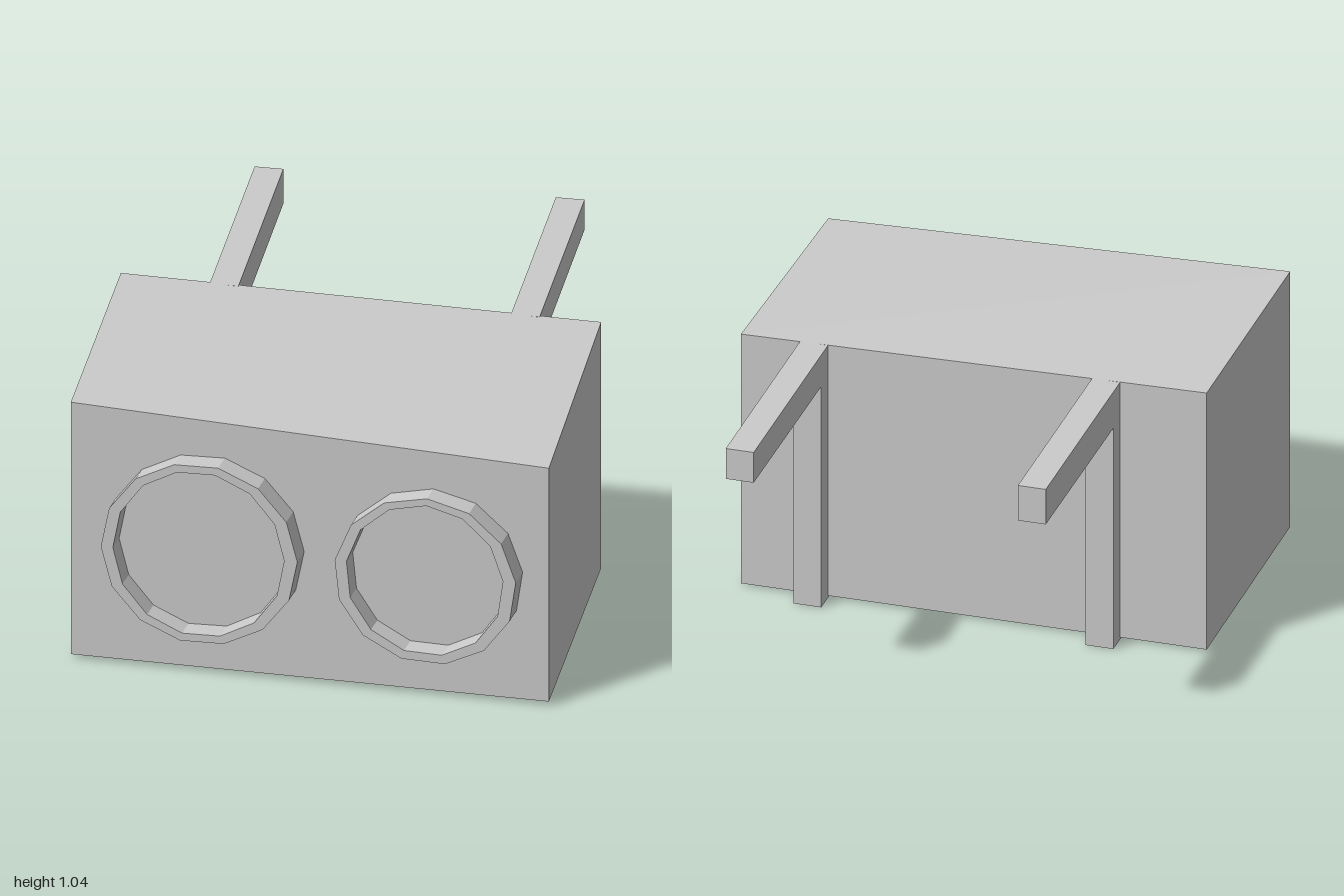
import * as THREE from 'three';

const material = new THREE.MeshStandardMaterial({ color: 0xcccccc, flatShading: true });

// height and depth of the slightly skewed housing
const frontZ = (x) => 0.892 + 0.0255 * x;
const topY = (x, front) => (front ? 0.998 - 0.0431 * x : 1.016 - 0.0172 * x);

function addMesh(parent, name, geometry) {
  geometry.computeVertexNormals();
  const mesh = new THREE.Mesh(geometry, material);
  mesh.name = name;
  parent.add(mesh);
}

// move every vertex by a rule
function reshape(geometry, rule) {
  const p = geometry.attributes.position;
  const v = new THREE.Vector3();
  for (let i = 0; i < p.count; i++) {
    rule(v.fromBufferAttribute(p, i));
    p.setXYZ(i, v.x, v.y, v.z);
  }
  return geometry;
}

// many-sided outline, usable as a shape or as a hole
function outline(PathType, cx, cy, rx, ry, sides, phase) {
  const points = [];
  for (let i = 0; i < sides; i++) {
    const a = phase + (i / sides) * Math.PI * 2;
    points.push(new THREE.Vector2(cx + rx * Math.cos(a), cy + ry * Math.sin(a)));
  }
  return new PathType(points);
}

function rimGeometry({ outer, inner, sides, phase, z }) {
  const shape = outline(THREE.Shape, ...outer, sides, phase);
  shape.holes.push(outline(THREE.Path, ...inner, sides, phase));
  const geometry = new THREE.ExtrudeGeometry(shape, { depth: 1, bevelEnabled: false });
  // seat the back on the housing and tilt the front
  return reshape(geometry, (v) => {
    const t = v.z;
    v.z = t > 0.5 ? z + 0.043 * v.x : frontZ(v.x) - 0.002;
    v.x += 0.01 * (1 - t);
  });
}

export function createModel() {
  const model = new THREE.Group();
  model.name = 'wallBox';

  // housing with a sloping top and slightly turned front
  addMesh(model, 'housing', reshape(new THREE.BoxGeometry(1.735, 1, 1), (v) => {
    const front = v.z > 0;
    v.y = v.y > 0 ? topY(v.x, front) : front ? 0.018 : 0.008;
    v.z = front ? frontZ(v.x) : -0.12;
  }));

  // raised rims on the front
  const rims = [
    { name: 'rightRim', outer: [-0.388, 0.515, 0.358, 0.363], inner: [-0.39, 0.515, 0.312, 0.332],
      sides: 14, phase: 0.03, z: 0.976 },
    { name: 'leftRim', outer: [0.432, 0.497, 0.332, 0.334], inner: [0.43, 0.5, 0.287, 0.302],
      sides: 13, phase: 0.1, z: 0.962 },
  ];
  for (const rim of rims) addMesh(model, rim.name, rimGeometry(rim));

  // L-shaped brackets: a post down the back and an arm reaching out
  for (const [name, x] of [['rightBracket', -0.493], ['leftBracket', 0.595]]) {
    const top = topY(x, false);
    const profile = new THREE.Shape([
      [0.11, 0], [0.2, 0], [0.2, 0.88], [1, 0.885], [1, top], [0.11, top],
    ].map(([z, y]) => new THREE.Vector2(z, y)));
    const geometry = new THREE.ExtrudeGeometry(profile, { depth: 0.104, bevelEnabled: false });
    geometry.rotateY(Math.PI / 2).translate(x - 0.052, 0, 0);
    addMesh(model, name, geometry);
  }
  return model;
}
